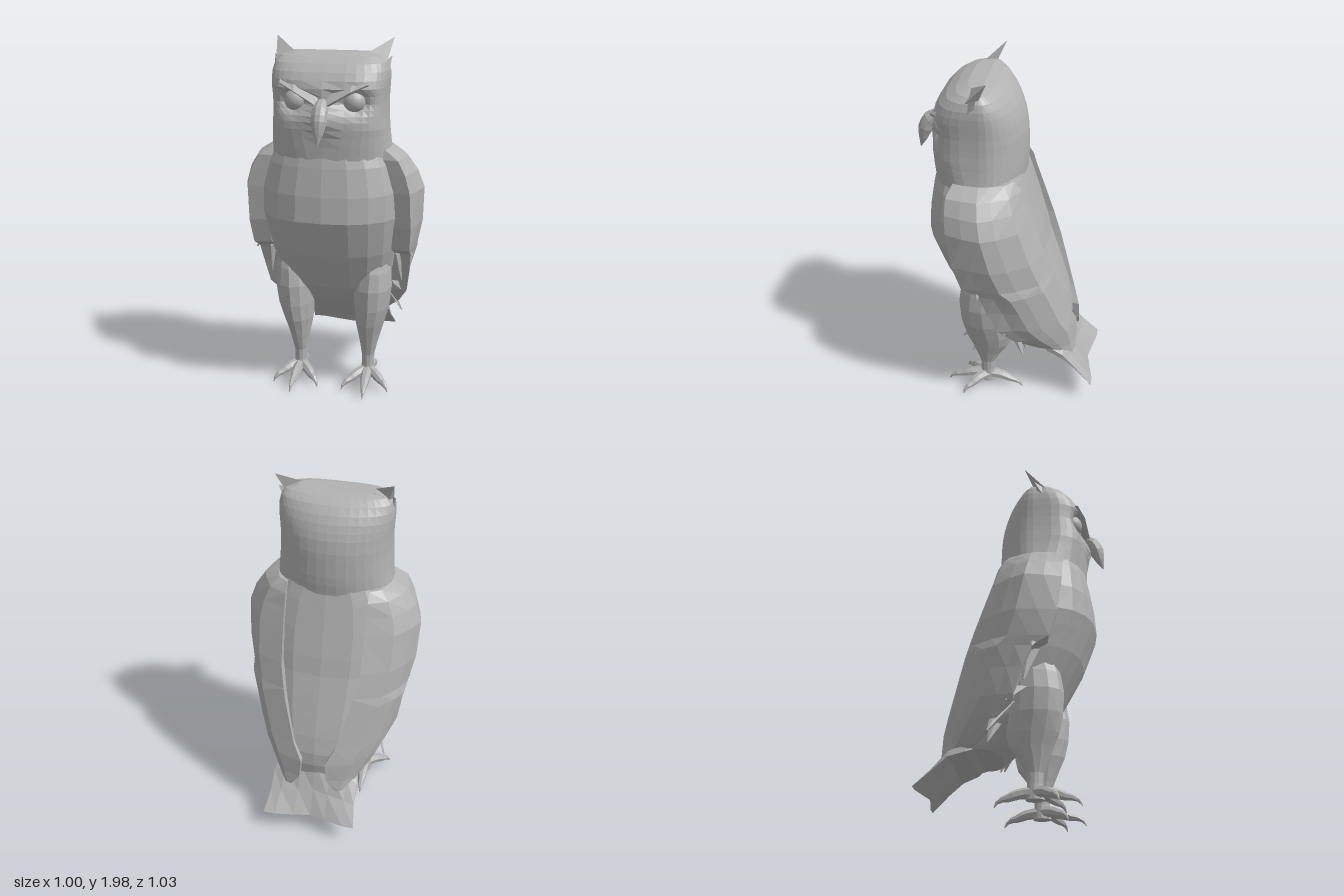
import * as THREE from 'three';

const plumage = new THREE.MeshStandardMaterial({ color: 0xb2b2b2 });
plumage.name = 'plumage grey';

// Skin a list of equal-length rings, cap both ends, turn faces outward, facet it
function loft(name, rings, side = 1, capped = true) {
  const n = rings[0].length, pos = [], idx = [];
  const push = p => pos.push(p[0] * side, p[1], p[2]);
  rings.forEach(r => r.forEach(push));
  for (let i = 0; i < rings.length - 1; i++) {
    for (let j = 0; j < n; j++) {
      const a = i * n + j, b = i * n + (j + 1) % n;
      idx.push(a, b, a + n, b, b + n, a + n);
    }
  }
  if (capped) [0, rings.length - 1].forEach((k, end) => {
    const c = pos.length / 3;
    push([0, 1, 2].map(d => rings[k].reduce((s, p) => s + p[d], 0) / n));
    for (let j = 0; j < n; j++) {
      const a = k * n + j, b = k * n + (j + 1) % n;
      if (end) idx.push(a, b, c); else idx.push(b, a, c);
    }
  });
  // signed volume about the middle tells whether the faces point inward
  const v = i => new THREE.Vector3().fromArray(pos, i * 3);
  const o = new THREE.Vector3();
  for (let i = 0; i < pos.length / 3; i++) o.addScaledVector(v(i), 3 / pos.length);
  let volume = 0;
  for (let i = 0; i < idx.length; i += 3) {
    const [a, b, c] = [0, 1, 2].map(k => v(idx[i + k]).sub(o));
    volume += a.dot(b.cross(c));
  }
  if (volume < 0) idx.reverse();
  const indexed = new THREE.BufferGeometry();
  indexed.setAttribute('position', new THREE.Float32BufferAttribute(pos, 3));
  indexed.setIndex(idx);
  const geo = indexed.toNonIndexed();
  geo.computeVertexNormals();
  const mesh = new THREE.Mesh(geo, plumage);
  mesh.name = name;
  return mesh;
}

// Rounded ring between a front point and a back point, boxier in front
function ring(yf, zf, yb, zb, w, n, eFront, eBack, zc = (zb + zf) / 2) {
  return Array.from({ length: n }, (_, j) => {
    const a = j / n * Math.PI * 2, s = Math.sin(a), c = Math.cos(a);
    const e = c > 0 ? eFront : eBack;
    const x = w * Math.sign(s) * Math.abs(s) ** e;
    const z = zc + (c > 0 ? zf - zc : zb - zc) * Math.abs(c) ** e;
    return [x, yb + (yf - yb) * (z - zb) / (zf - zb), z];
  });
}

// Tapered round rod along a curve
function rod(name, points, radii, n, side = 1) {
  const curve = new THREE.CatmullRomCurve3(points.map(p => new THREE.Vector3(...p)));
  const steps = (points.length - 1) * 2;
  const f = curve.computeFrenetFrames(steps);
  const rings = Array.from({ length: steps + 1 }, (_, i) => {
    const p = curve.getPointAt(i / steps);
    const k = Math.min(Math.floor(i / 2), radii.length - 2);
    const r = radii[k] + (radii[k + 1] - radii[k]) * (i / 2 - k);
    return Array.from({ length: n }, (_, j) => {
      const a = j / n * Math.PI * 2;
      return p.clone().addScaledVector(f.normals[i], Math.cos(a) * r)
        .addScaledVector(f.binormals[i], Math.sin(a) * r).toArray();
    });
  });
  return loft(name, rings, side);
}

function makeBody() {
  // front y, front z, back y, back z, half width
  const rows = [
    [1.46, .39, 1.43, -.08, .3], [1.35, .415, 1.35, -.105, .35], [1.2, .44, 1.2, -.15, .385],
    [1.06, .45, 1.05, -.195, .385], [.98, .42, .95, -.22, .375], [.85, .37, .85, -.255, .36],
    [.74, .31, .72, -.3, .34], [.63, .25, .6, -.34, .31], [.5, .13, .5, -.365, .28],
    [.4, .01, .42, -.37, .24], [.33, -.08, .345, -.36, .21],
  ];
  return loft('body', rows.map(r => ring(...r, 20, .85, .72)));
}

function makeHead() {
  // y, front z, back z, half width
  const rows = [
    [1.34, .4, -.085, .335], [1.41, .403, -.09, .325], [1.46, .405, -.095, .318], [1.51, .405, -.097, .312],
    [1.55, .405, -.096, .309], [1.59, .405, -.095, .306], [1.62, .405, -.094, .305], [1.65, .405, -.092, .305],
    [1.68, .405, -.087, .305], [1.72, .405, -.08, .307], [1.76, .405, -.067, .31], [1.8, .385, -.05, .312],
    [1.84, .36, -.025, .31], [1.88, .32, .01, .3], [1.91, .27, .06, .275], [1.93, .21, .12, .21],
  ];
  // the throat is rounder than the face
  const boxiness = y => .57 + .28 * THREE.MathUtils.clamp((1.55 - y) / .2, 0, 1);
  const rings = rows.map(([y, zf, zb, w]) => ring(y, zf, y, zb, w, 36, boxiness(y), 1, Math.min(.12, zf - .08)));
  // hollow the eye sockets and swell the muzzle around the beak
  rings.flat().filter(p => p[2] > .15).forEach(p => {
    const d = ((Math.abs(p[0]) - .16) / .08) ** 2 + ((p[1] - 1.69) / .055) ** 2;
    const m = (p[0] / .08) ** 2 + ((p[1] - 1.6) / .07) ** 2;
    p[2] += .035 * Math.exp(-m) - .07 * Math.exp(-d);
  });
  return loft('head', rings);
}

function makeTail() {
  // z, half width, top y, bottom y, how far the middle is drawn in
  const rows = [[-.16, .15, .44, .37, 0], [-.25, .23, .48, .315, 0], [-.34, .25, .42, .285, 0],
    [-.42, .25, .26, .215, .02], [-.515, .27, .125, .125, .04]];
  const across = [-1, -.75, -.35, 0, .35, .75, 1];
  return loft('tail', rows.map(([z, w, top, bottom, notch]) => {
    const edge = (y, sag) => across.map(u =>
      [u * w, y - sag * Math.abs(u), z + notch * (1 - Math.min(1, Math.abs(u) / .75))]);
    return [...edge(top, (top - bottom) * .8), ...edge(bottom, 0).reverse()];
  }), 1, false);
}

function makeWing(side) {
  // y, front z, back z, front outer x, widest x, inner back x
  const rows = [
    [1.43, .265, -.05, .31, .33, .23], [1.38, .29, -.09, .38, .41, .23], [1.3, .29, -.115, .42, .465, .23],
    [1.2, .285, -.15, .445, .5, .23], [1.0, .255, -.22, .45, .49, .225], [.86, .21, -.27, .44, .46, .2],
    [.81, .12, -.285, .435, .45, .19], [.7, .07, -.32, .425, .415, .16], [.56, .02, -.365, .405, .375, .12],
    [.46, -.07, -.4, .35, .325, .07], [.35, -.2, -.405, .25, .25, .08], [.28, -.36, -.4, .16, .18, .13],
  ];
  return loft('wing', rows.map(([y, zf, zb, xf, xm, xb]) => {
    const at = t => zf + (zb - zf) * t, mix = k => xm * k + xb * (1 - k);
    return [[xf - .1, y, at(.03)], [xf, y, zf], [xf * .4 + xm * .6, y, at(.22)], [xm, y, at(.45)],
      [mix(.86), y, at(.63)], [mix(.57), y, at(.87)], [xb, y, zb],
      [xb, y, at(.87)], [mix(.5) - .02, y, at(.5)]];
  }), side);
}

// Pointed feather: a diamond-section blade from root to tip
function makeFeather([x, y, z], tip, side) {
  const blade = (p, w, t) => [[p[0], p[1], p[2] + w], [p[0] + t, p[1], p[2]],
    [p[0], p[1], p[2] - w], [p[0] - t, p[1], p[2]]];
  return loft('wingFeather', [blade([x, y, z], .055, .02), blade(tip, .004, .004)], side);
}

function makeLeg(side) {
  const leg = new THREE.Group();
  leg.name = side > 0 ? 'leftLeg' : 'rightLeg';
  // y, centre x, centre z, half width, half depth
  const rows = [[.84, .24, .1, .07, .11], [.72, .23, .115, .098, .14], [.62, .225, .122, .11, .148],
    [.5, .22, .115, .1, .147], [.4, .21, .1, .083, .14], [.33, .206, .093, .067, .117],
    [.26, .203, .105, .05, .077], [.19, .2, .11, .037, .045], [.13, .2, .11, .036, .042], [.05, .2, .11, .042, .05]];
  leg.add(loft('thigh', rows.map(([y, cx, cz, w, d]) =>
    ring(y, cz + d, y, cz - d, w, 12, 1, 1).map(p => [p[0] + cx, p[1], p[2]])), side));
  // three front toes and one back toe, each ending in a hooked claw
  [[.135, .13], [.01, .24], [-.13, .15], [.015, -.21]].forEach(([dx, dz]) => {
    const at = (t, y) => [.2 + dx * t, y, .11 + dz * t];
    leg.add(rod('toe', [at(0, .09), at(.4, .083), at(.68, .062), at(.88, .05), at(1, .015)],
      [.038, .03, .026, .016, .002], 7, side));
  });
  return leg;
}

export function createModel() {
  const owl = new THREE.Group();
  owl.name = 'owl';
  owl.add(makeBody(), makeHead(), makeTail());

  // hooked beak
  owl.add(rod('beak', [[0, 1.69, .395], [0, 1.65, .45], [0, 1.6, .473], [0, 1.545, .488], [0, 1.485, .505]],
    [.03, .042, .042, .026, .002], 10));

  for (const side of [1, -1]) {
    const eye = new THREE.Mesh(new THREE.SphereGeometry(.06, 20, 14), plumage);
    eye.name = 'eye';
    eye.position.set(side * .155, 1.695, .333);
    owl.add(eye);

    // slanting brow that slopes back into the forehead
    const brow = [[0, 1.665, .44, .05], [.06, 1.7, .428, .06], [.15, 1.75, .412, .06],
      [.23, 1.785, .375, .045], [.275, 1.76, .27, .015]];
    owl.add(loft('brow', brow.map(([x, y, z, h]) =>
      [[x, y + h, z - .06], [x, y, z], [x, y - .012, z - .02], [x, y - .005, z - .1]]), side));

    // ear tuft: a long spike with a shorter one beneath
    const spike = (a, b, c, tip) => loft('earTuft', [[a, b, c], [a, b, c].map(p =>
      p.map((q, i) => tip[i] + (q - tip[i]) * .02))], side);
    owl.add(spike([.17, 1.91, .2], [.28, 1.79, .28], [.27, 1.86, .14], [.32, 2, .075]));
    owl.add(spike([.26, 1.86, .24], [.3, 1.74, .23], [.295, 1.82, .15], [.318, 1.91, .13]));

    owl.add(makeWing(side), makeLeg(side));

    // ragged feather tips along the lower front edge of the wing
    [[[.4, .9, .14], [.45, .8, .12]], [[.36, .82, .1], [.38, .64, .07]], [[.34, .62, .03], [.39, .53, -.02]],
      [[.29, .56, -.04], [.36, .38, -.12]], [[.23, .52, -.07], [.27, .35, -.13]]]
      .forEach(([root, tip]) => owl.add(makeFeather(root, tip, side)));
  }
  return owl;
}
